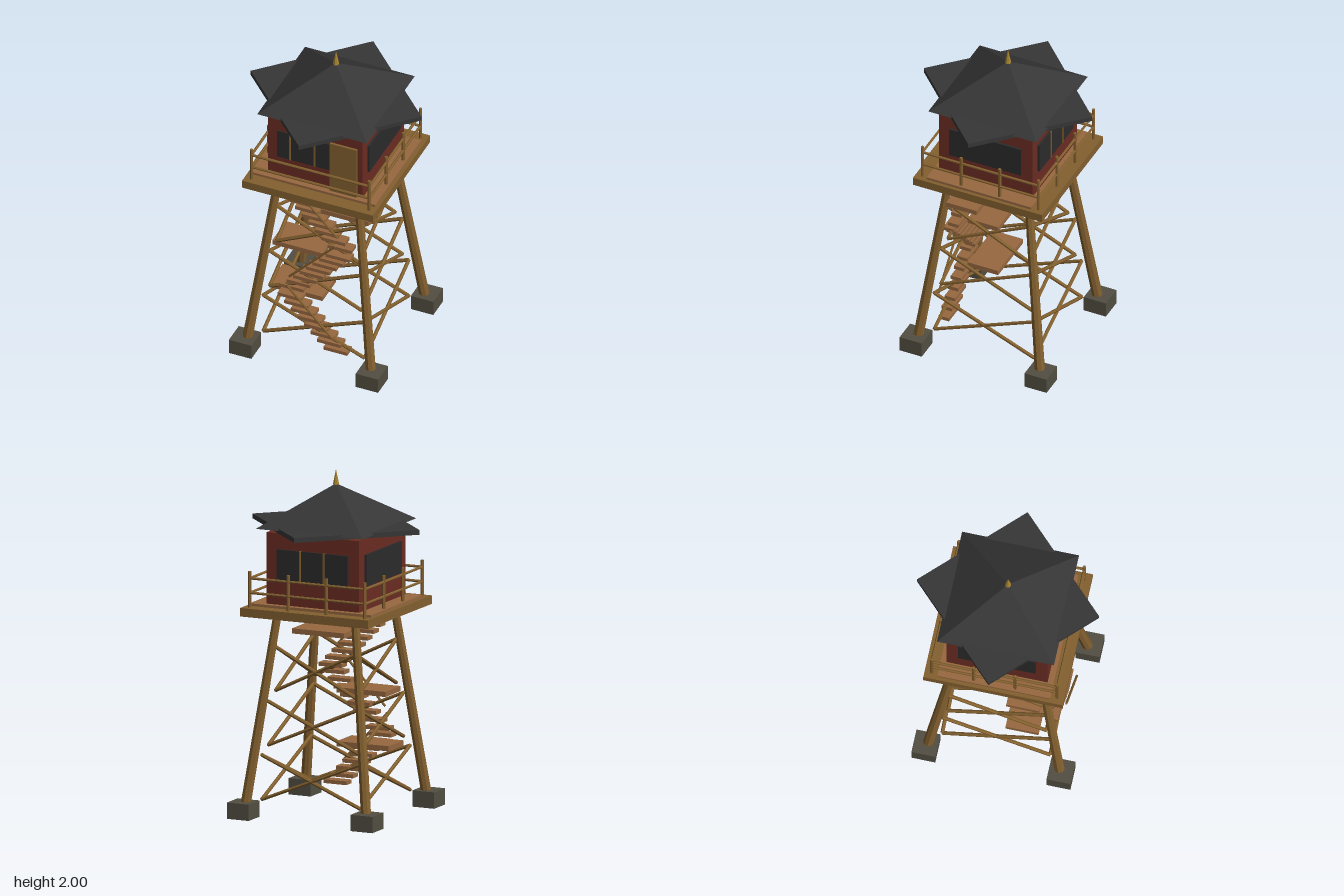
import * as THREE from 'three';

const mat = (color) => new THREE.MeshStandardMaterial({ color, flatShading: true });
const timber = mat(0x83602f), plank = mat(0x966840), red = mat(0x6b2c22);
const slate = mat(0x363636), glass = mat(0x2b2b2b), stone = mat(0x524e42), gold = mat(0xa5822f);

export function createModel() {
  const model = new THREE.Group();
  const group = (name) => {
    const g = new THREE.Group();
    g.name = name;
    model.add(g);
    return g;
  };
  const add = (parent, name, geometry, material) => {
    const m = new THREE.Mesh(geometry, material);
    m.name = name;
    parent.add(m);
    return m;
  };
  // Box given by its extents on each axis
  const box = (parent, name, [x0, x1], [y0, y1], [z0, z1], material) => {
    const m = add(parent, name, new THREE.BoxGeometry(x1 - x0, y1 - y0, z1 - z0), material);
    m.position.set((x0 + x1) / 2, (y0 + y1) / 2, (z0 + z1) / 2);
    return m;
  };
  // Round pole between two points
  const pole = (parent, name, a, b, rBottom, rTop, material, sides = 8) => {
    const from = new THREE.Vector3(...a), to = new THREE.Vector3(...b);
    const dir = to.clone().sub(from);
    const m = add(parent, name, new THREE.CylinderGeometry(rTop, rBottom, dir.length(), sides), material);
    m.position.copy(from).add(to).multiplyScalar(0.5);
    m.quaternion.setFromUnitVectors(new THREE.Vector3(0, 1, 0), dir.normalize());
    return m;
  };

  // Footings and splayed legs
  const legs = group('legs');
  for (const sx of [-1, 1]) for (const sz of [-1, 1]) {
    const cx = sx * 0.395, cz = sz * 0.395;
    box(legs, 'footing', [cx - 0.07, cx + 0.07], [0, 0.095], [cz - 0.07, cz + 0.07], stone);
    pole(legs, 'leg', [sx * 0.387, 0.06, sz * 0.387], [sx * 0.247, 1.19, sz * 0.247], 0.031, 0.025, timber);
  }

  // Three tiers of cross braces on all four sides
  const braces = group('braces');
  for (const [r, y0, y1] of [[0.316, 0.1, 0.36], [0.288, 0.415, 0.67], [0.257, 0.73, 0.985]]) {
    for (const s of [-1, 1]) for (const d of [-1, 1]) {
      pole(braces, 'crossBrace', [-d * r, y0, s * r], [d * r, y1, s * r], 0.011, 0.011, timber, 6);
      pole(braces, 'crossBrace', [s * r, y0, -d * r], [s * r, y1, d * r], 0.011, 0.011, timber, 6);
    }
  }

  // Zigzag staircase: three flights of eight treads with handrails and landings
  const stairs = group('stairs');
  const rise = 0.0434, reach = 0.143;
  for (let f = 0; f < 3; f++) {
    const dir = f % 2 ? 1 : -1, z = 0.304 - f * 0.03, y0 = 0.11 + f * 8 * rise;
    for (let i = 0; i < 8; i++) {
      const x = dir * (-reach + (i / 7) * reach * 2), y = y0 + i * rise;
      box(stairs, 'tread', [x - 0.074, x + 0.074], [y - 0.011, y + 0.011], [z - 0.033, z + 0.033], plank);
    }
    pole(stairs, 'handrail', [-dir * reach, y0 + 0.11, z + 0.068],
      [dir * reach, y0 + 7 * rise + 0.11, z + 0.068], 0.007, 0.007, timber, 6);
  }
  for (const [x0, x1, y] of [[-0.31, 0.022, 0.385], [-0.29, 0.022, 0.7], [-0.025, 0.308, 1.017]])
    box(stairs, 'landing', [x0, x1], [y - 0.015, y + 0.015], [0.052, 0.245], plank);

  // Deck
  const deck = group('deck');
  box(deck, 'platform', [-0.408, 0.408], [1.175, 1.225], [-0.408, 0.408], timber);
  box(deck, 'floorBoards', [-0.388, 0.388], [1.22, 1.24], [-0.33, 0.33], plank);

  // Railing
  const railing = group('railing');
  const R = 0.367;
  const post = (x, z) => pole(railing, 'railPost', [x, 1.225, z], [x, 1.435, z], 0.01, 0.01, timber, 6);
  for (const s of [-1, 1]) {
    for (const t of [-1, 1]) {
      post(s * R, t * R);
      post(s * R, t * 0.122);
    }
    post(s * 0.122, -R);
    for (const y of [1.31, 1.395]) {
      pole(railing, 'rail', [-R, y, s * R], [R, y, s * R], 0.008, 0.008, timber, 6);
      pole(railing, 'rail', [s * R, y, -R], [s * R, y, R], 0.008, 0.008, timber, 6);
    }
  }

  // Cabin with door, windows and mullions
  const cabin = group('cabin');
  const winY = [1.38, 1.565];
  box(cabin, 'walls', [-0.295, 0.295], [1.235, 1.657], [-0.295, 0.295], red);
  box(cabin, 'door', [0.095, 0.262], [1.24, 1.58], [0.28, 0.31], timber);
  box(cabin, 'frontWindow', [-0.235, 0.095], winY, [0.28, 0.303], glass);
  box(cabin, 'backWindow', [-0.227, 0.227], winY, [-0.308, -0.28], glass);
  for (const s of [-1, 1])
    box(cabin, 'sideWindow', s > 0 ? [0.28, 0.308] : [-0.308, -0.28], winY, [-0.227, 0.227], glass);
  for (const x of [-0.153, 0])
    box(cabin, 'mullion', [x - 0.005, x + 0.005], winY, [0.29, 0.308], timber);
  for (const x of [-0.076, 0.076])
    box(cabin, 'mullion', [x - 0.005, x + 0.005], winY, [-0.313, -0.29], timber);

  // Roof: pyramid over an eave slab turned by 45 degrees, with a finial
  const roof = group('roof');
  const side = 0.533 * Math.SQRT2;
  const eaves = add(roof, 'eaves', new THREE.BoxGeometry(side, 0.028, side), slate);
  eaves.position.y = 1.677;
  eaves.rotation.y = Math.PI / 4;
  const pyramid = add(roof, 'pyramid', new THREE.ConeGeometry(0.342 * Math.SQRT2, 0.235, 4), slate);
  pyramid.position.y = 1.68 + 0.1175;
  pyramid.rotation.y = Math.PI / 4;
  const finial = add(roof, 'finial', new THREE.ConeGeometry(0.019, 0.09, 8), gold);
  finial.position.y = 1.955;

  return model;
}
